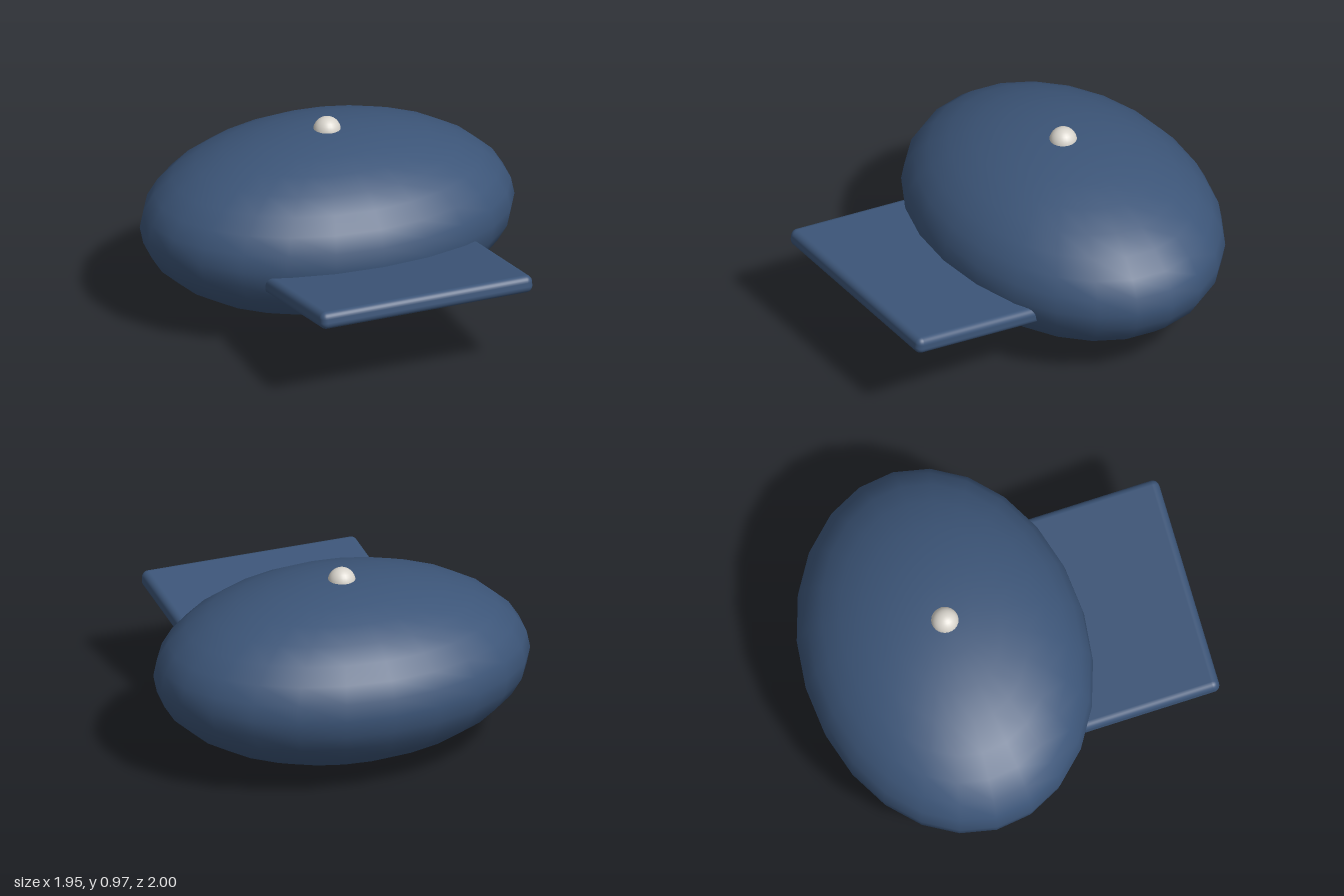
import * as THREE from 'three';
import { RoundedBoxGeometry } from 'three/addons/geometries/RoundedBoxGeometry.js';

export function createModel() {
  const group = new THREE.Group();
  const navy = new THREE.MeshStandardMaterial({ color: 0x3c5578 });
  const ivory = new THREE.MeshStandardMaterial({ color: 0xd8d4cc });

  const add = (name, geometry, material, x, y, z) => {
    const mesh = new THREE.Mesh(geometry, material);
    mesh.name = name;
    mesh.position.set(x, y, z);
    group.add(mesh);
    return mesh;
  };

  // Crown: a flattened ball
  const crown = add('crown', new THREE.SphereGeometry(1, 24, 16), navy, 0, 0.458, -0.275);
  crown.scale.set(0.976, 0.458, 0.725);

  // Brim: rounded slab, tilted up towards the front, its rear end inside the crown
  const brim = add('brim', new RoundedBoxGeometry(1.16, 0.09, 0.9, 4, 0.035), navy, 0, 0.421, 0.552);
  brim.rotation.x = -0.14;

  // Button on top of the crown
  add('button', new THREE.SphereGeometry(0.07, 24, 16), ivory, 0, 0.902, -0.275);

  return group;
}
